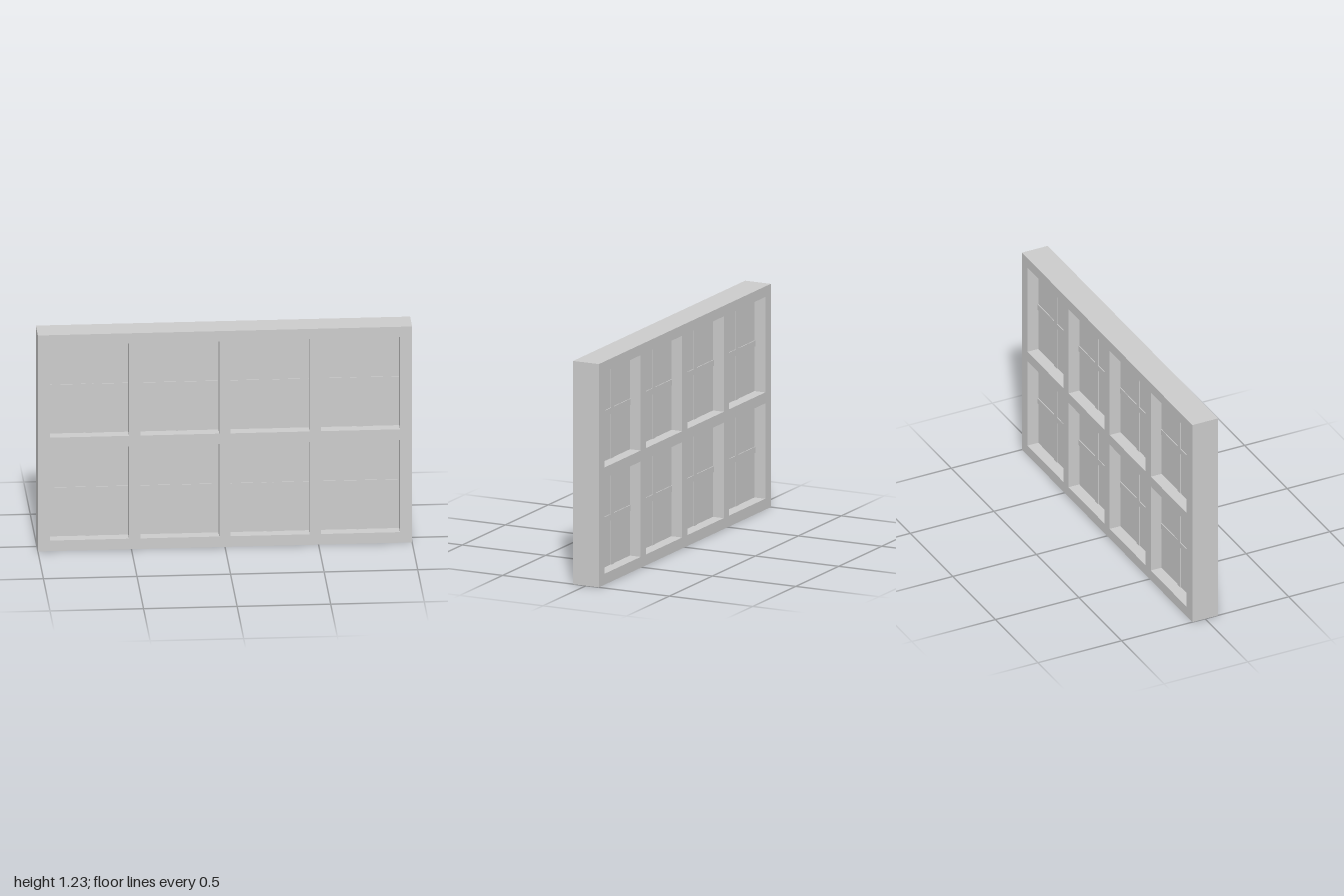
import * as THREE from 'three';

const W = 2, H = 1.226, D = 0.154;      // overall frame
const PW = 0.422, PH = 0.524;           // opening size
const COLS = [-0.724, -0.2415, 0.2415, 0.724];
const ROWS = [0.322, 0.906];
const GLASS = 0.025, BAR = 0.033, BAR_DEPTH = 0.034;

export function createModel() {
  const group = new THREE.Group();
  const material = new THREE.MeshStandardMaterial({ color: 0xcccccc, flatShading: true });

  const add = (name, geometry, x = 0, y = 0, z = 0, parent = group) => {
    const mesh = new THREE.Mesh(geometry, material);
    mesh.name = name;
    mesh.position.set(x, y, z);
    parent.add(mesh);
  };

  // Outer frame with eight rectangular openings
  const shape = new THREE.Shape([
    new THREE.Vector2(-W / 2, 0), new THREE.Vector2(W / 2, 0),
    new THREE.Vector2(W / 2, H), new THREE.Vector2(-W / 2, H),
  ]);
  for (const x of COLS) for (const y of ROWS) {
    const a = PW / 2, b = PH / 2;
    shape.holes.push(new THREE.Path([
      new THREE.Vector2(x - a, y - b), new THREE.Vector2(x - a, y + b),
      new THREE.Vector2(x + a, y + b), new THREE.Vector2(x + a, y - b),
    ]));
  }
  add('windowFrame', new THREE.ExtrudeGeometry(shape, { depth: D, bevelEnabled: false }), 0, 0, -D / 2);

  // Each opening holds a pane crossed by slightly raised glazing bars
  const pane = new THREE.BoxGeometry(PW, PH, GLASS);
  const upright = new THREE.BoxGeometry(BAR, PH, BAR_DEPTH);
  const crossbar = new THREE.BoxGeometry((PW - BAR) / 2, BAR, BAR_DEPTH);
  for (const x of COLS) for (const y of ROWS) {
    const sash = new THREE.Group();
    sash.name = 'sash';
    sash.position.set(x, y, 0);
    add('glassPane', pane, 0, 0, 0, sash);
    add('verticalGlazingBar', upright, 0, 0, 0, sash);
    for (const s of [-1, 1]) add('horizontalGlazingBar', crossbar, s * (PW + BAR) / 4, 0, 0, sash);
    group.add(sash);
  }
  return group;
}
